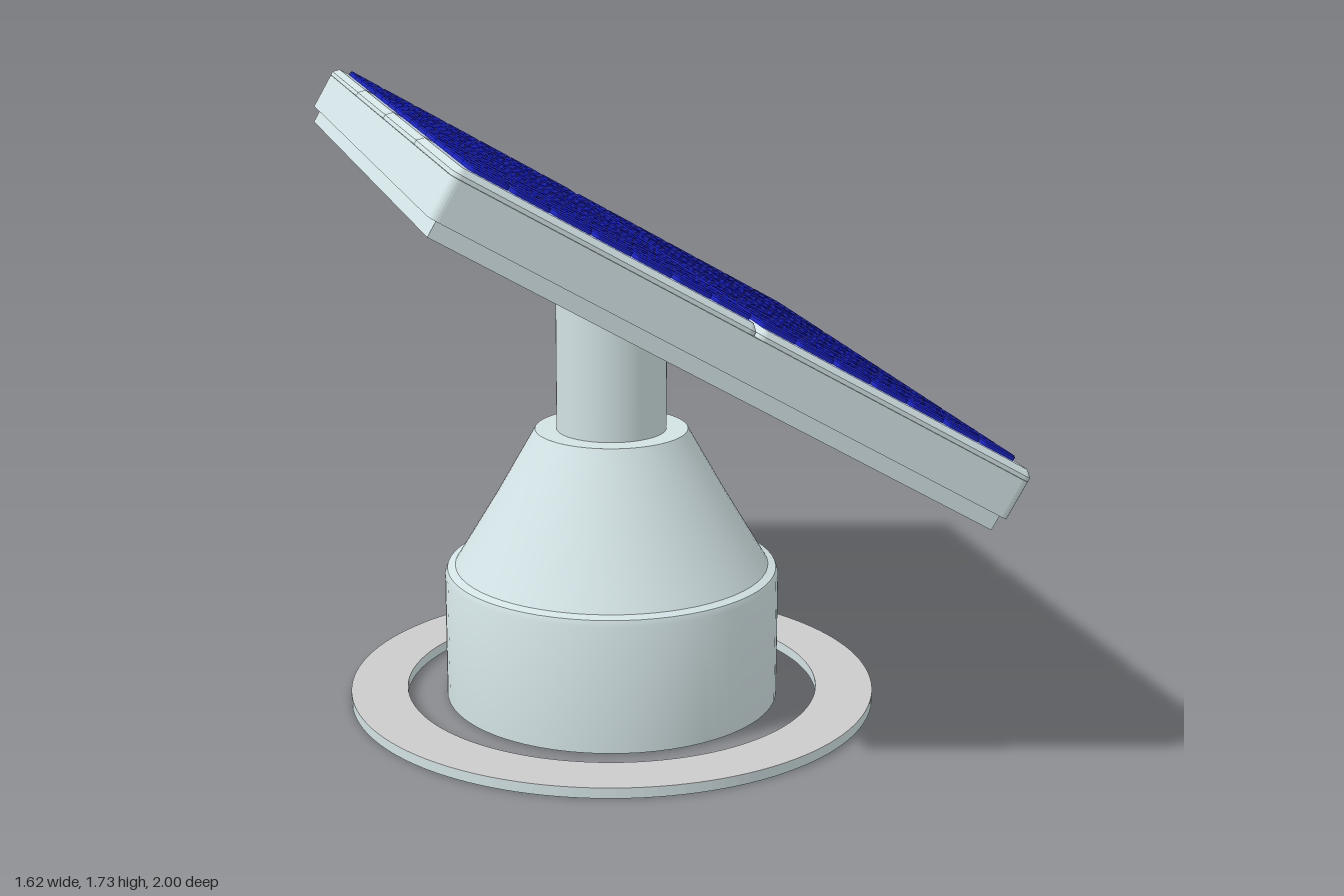
import * as THREE from 'three';
import { mergeGeometries, toCreasedNormals } from 'three/addons/utils/BufferGeometryUtils.js';

const TILT = Math.PI / 6;
const AXIS_X = -0.055, AXIS_Z = 0.015; // centre of the pedestal

const standard = (color) => new THREE.MeshStandardMaterial({ color });

// Rounded slab spanning x0..x1, z0..z1 and y0..y1, with a chamfer on its edges
function slab(x0, x1, y0, y1, z0, z1, radius, chamfer) {
  const w = (x1 - x0) / 2 - chamfer, d = (z1 - z0) / 2 - chamfer;
  const r = Math.max(radius - chamfer, 0.002);
  const s = new THREE.Shape();
  s.absarc(w - r, d - r, r, 0, Math.PI / 2);
  s.absarc(-w + r, d - r, r, Math.PI / 2, Math.PI);
  s.absarc(-w + r, -d + r, r, Math.PI, Math.PI * 1.5);
  s.absarc(w - r, -d + r, r, Math.PI * 1.5, Math.PI * 2);
  const g = new THREE.ExtrudeGeometry(s, {
    depth: y1 - y0 - 2 * chamfer, curveSegments: 3,
    bevelEnabled: chamfer > 0, bevelSize: chamfer, bevelThickness: chamfer, bevelSegments: 1,
  });
  g.rotateX(-Math.PI / 2);
  g.translate((x0 + x1) / 2, y0 + chamfer, (z0 + z1) / 2);
  return g;
}

function box(x0, x1, y0, y1, z0, z1) {
  const g = new THREE.BoxGeometry(x1 - x0, y1 - y0, z1 - z0);
  return g.translate((x0 + x1) / 2, (y0 + y1) / 2, (z0 + z1) / 2);
}

export function createModel() {
  const model = new THREE.Group();
  const shell = standard(0xd2e2e4);
  const grey = standard(0xcccccc);
  const blue = standard(0x1a22c0);

  const add = (parent, name, geometry, material) => {
    const mesh = new THREE.Mesh(geometry, material);
    mesh.name = name;
    parent.add(mesh);
    return mesh;
  };

  // Pedestal: ground ring, drum with conical shoulders, post
  const pedestal = new THREE.Group();
  pedestal.name = 'pedestal';
  pedestal.position.set(AXIS_X, 0, AXIS_Z);
  model.add(pedestal);

  const ringShape = new THREE.Shape().absarc(0, 0, 0.765, 0, Math.PI * 2);
  ringShape.holes.push(new THREE.Path().absarc(0, 0, 0.6, 0, Math.PI * 2, true));
  const ring = new THREE.ExtrudeGeometry(ringShape, { depth: 0.03, bevelEnabled: false, curveSegments: 64 });
  ring.rotateX(-Math.PI / 2);
  add(pedestal, 'groundRing', ring, [grey, shell]);

  const profile = [
    [0, 0.005], [0.485, 0.005], [0.485, 0.375], [0.478, 0.392], [0.455, 0.4],
    [0.335, 0.6], [0.22, 0.803], [0, 0.803],
  ].map(([r, y]) => new THREE.Vector2(r, y));
  add(pedestal, 'baseDrum', toCreasedNormals(new THREE.LatheGeometry(profile, 64), 0.5), shell);

  // The post's upper end is cut to the slope of the panel
  const post = new THREE.CylinderGeometry(0.158, 0.158, 1, 48);
  const p = post.attributes.position;
  for (let i = 0; i < p.count; i++) {
    const top = (1.08 - Math.sin(TILT) * (p.getX(i) + AXIS_X)) / Math.cos(TILT);
    p.setY(i, p.getY(i) > 0 ? top : 0.79);
  }
  add(pedestal, 'post', post, shell);

  // Panel: local x runs down the slope, local y is its normal
  const panel = new THREE.Group();
  panel.name = 'solarPanel';
  panel.rotation.z = -TILT;
  model.add(panel);

  const xs = [-1.458, -0.599, 0.26];
  const zs = [-1, -0.482, 0.002, 0.48, 1];
  add(panel, 'tray', slab(xs[0], xs[2], 1.03, 1.14, zs[0], zs[4], 0.025, 0), shell);

  // Eight modules whose chamfered edges form the grooves
  const modules = [];
  for (let i = 0; i < 2; i++) {
    for (let j = 0; j < 4; j++) {
      modules.push(slab(xs[i], xs[i + 1], 1.125, 1.168, zs[j], zs[j + 1], 0.025, 0.016));
    }
  }
  add(panel, 'modules', mergeGeometries(modules), shell);

  // Solar cells: 7 by 4 on each module
  const cells = [];
  for (const x0 of [-1.414, -0.583]) {
    for (const z0 of [-0.958, -0.46, 0.01, 0.49]) {
      for (let i = 0; i < 7; i++) {
        for (let j = 0; j < 4; j++) {
          const x = x0 + i * 0.1155, z = z0 + j * 0.1155;
          cells.push(slab(x, x + 0.107, 1.16, 1.182, z, z + 0.11, 0.012, 0.004));
        }
      }
    }
  }
  add(panel, 'solarCells', mergeGeometries(cells), blue);

  // Underside frame: rim plus ribs below the module joints
  const [a, b, y0, y1, d, t] = [-1.435, 0.238, 0.987, 1.035, 0.982, 0.045];
  const frame = [
    box(a, a + t, y0, y1, -d, d), box(b - t, b, y0, y1, -d, d),
    box(a + t, b - t, y0, y1, -d, -d + t), box(a + t, b - t, y0, y1, d - t, d),
    box(xs[1] - t / 2, xs[1] + t / 2, y0, y1, -d + t, d - t),
  ];
  for (const z of zs.slice(1, 4)) {
    frame.push(box(a + t, b - t, y0 + 0.002, y1, z - t / 2, z + t / 2));
  }
  add(panel, 'undersideFrame', mergeGeometries(frame), shell);

  return model;
}
